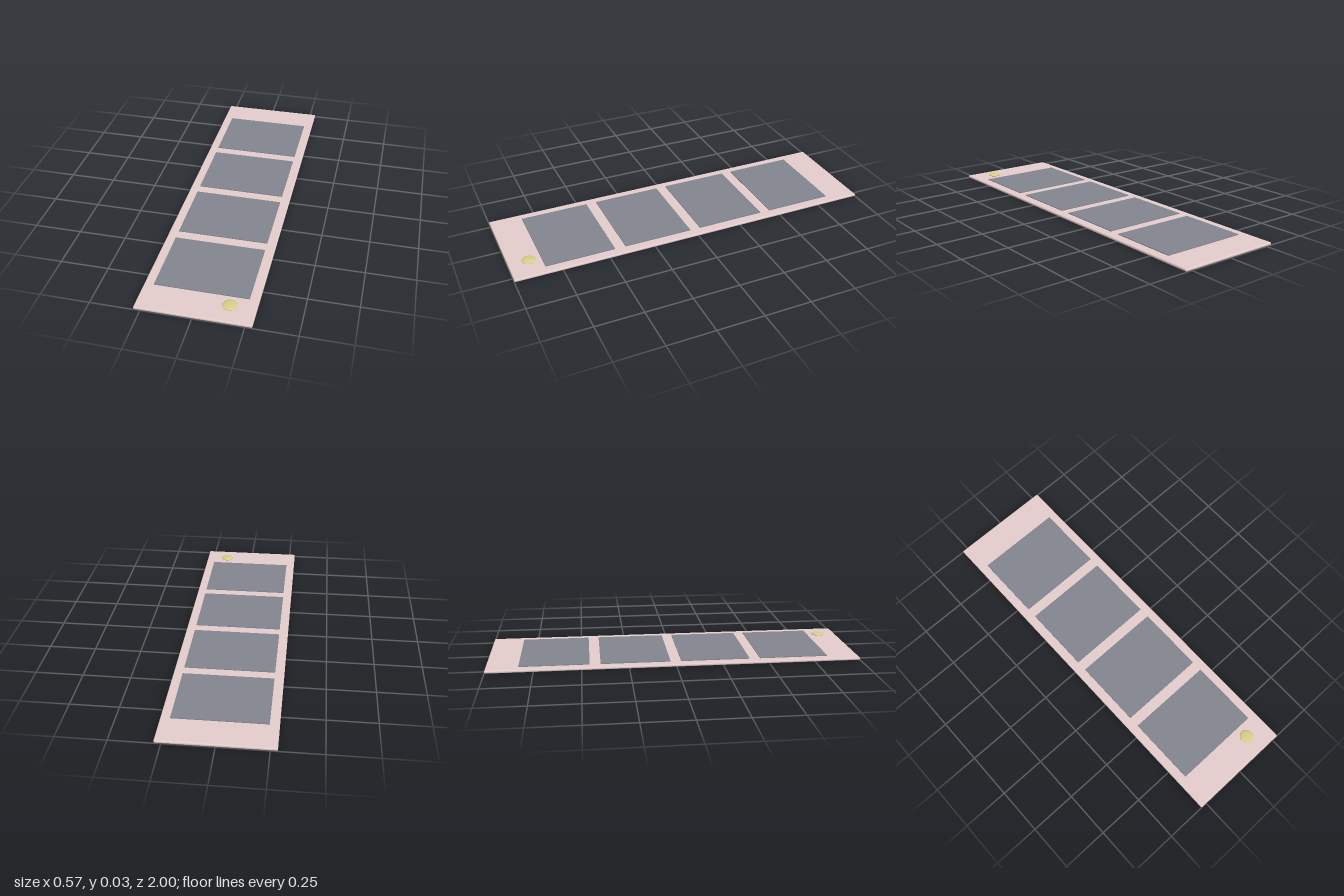
import * as THREE from 'three';
import { RoundedBoxGeometry } from 'three/addons/geometries/RoundedBoxGeometry.js';

const material = (color) => new THREE.MeshStandardMaterial({ color });

export function createModel() {
  const group = new THREE.Group();

  const add = (name, geometry, mat, x, y, z) => {
    const mesh = new THREE.Mesh(geometry, mat);
    mesh.name = name;
    mesh.position.set(x, y, z);
    group.add(mesh);
    return mesh;
  };

  // Thin backing board with rounded edges
  const thickness = 0.0145;
  add('board', new RoundedBoxGeometry(0.57, thickness, 2, 4, 0.006),
    material(0xe3cccc), 0, thickness / 2, 0);

  // Row of four equal panels, slightly raised above the board
  const panelGeometry = new THREE.BoxGeometry(0.473, 0.005, 0.371);
  const panelMaterial = material(0x82858f);
  for (let i = 0; i < 4; i++) {
    add(`panel${i + 1}`, panelGeometry, panelMaterial, 0, 0.0157, (i - 1.5) * 0.4286);
  }

  // Flattened domed button near the front left corner
  const button = add('button', new THREE.SphereGeometry(0.036, 32, 16),
    material(0xd8cf88), 0.156, 0.0216, 0.893);
  button.scale.y = 0.2;

  return group;
}
